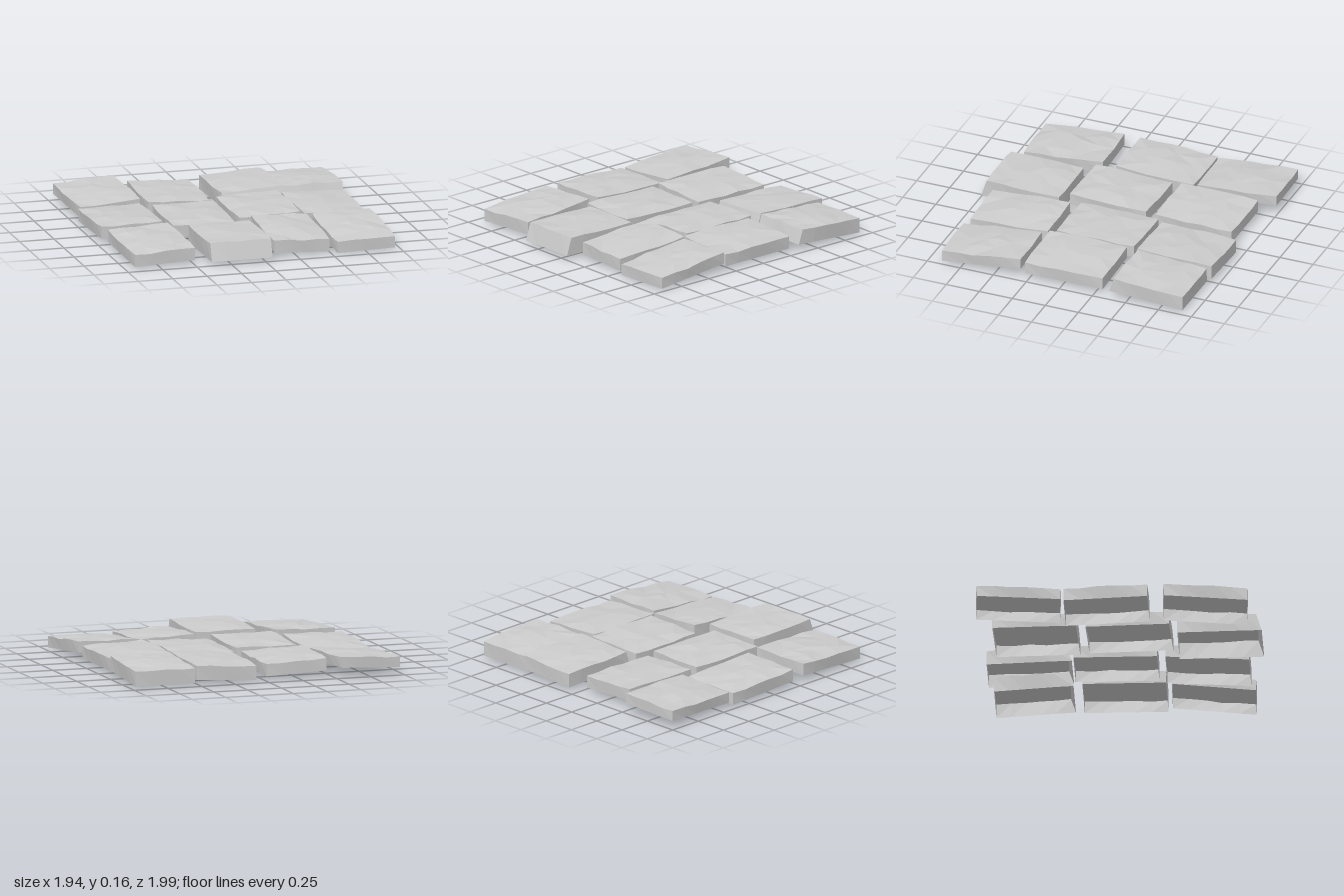
import * as THREE from 'three';

const NX = 4, NZ = 5;

// Each slab: centre x and z, turn, mean top height, rise to the right (+x), rise to the front;
// size, thickness and forward flare of the foot are given only where they differ
const SLABS = [
  // back row
  { at: [-0.74, -0.695, .05, .136, .022, -.022], t: .075 },
  { at: [-0.25, -0.59, -.03, .13, -.02, 0] },
  { at: [0.3, -0.67, 0, .144, .022, .018], d: .56, t: .1, lean: .035 },
  { at: [0.74, -0.655, 0, .141, 0, .033], d: .52, t: .105, lean: .035 },
  // middle row
  { at: [-0.745, -0.08, 0, .124, .008, .023] },
  { at: [-0.255, 0.06, -.03, .137, 0, .005] },
  { at: [0.248, -0.05, 0, .137, .015, 0] },
  { at: [0.708, -0.005, 0, .13, -.02, 0] },
  // front row
  { at: [-0.72, 0.61, .05, .129, .012, -.033] },
  { at: [-0.17, 0.675, 0, .155, 0, .008], d: .55, t: .125, lean: .04 },
  { at: [0.295, 0.59, 0, .131, -.018, -.033], w: .4 },
  { at: [0.748, 0.615, .03, .118, .007, -.052], w: .42, t: .08 },
];

// Small seeded generator, returns -1..1
function seeded(seed) {
  let s = seed * 7919 + 17;
  return () => {
    s = (s * 16807) % 2147483647;
    return (s / 2147483647) * 2 - 1;
  };
}

// Hollow stone: uneven crowned top and a skirt of side walls, open below
function slabGeometry({ at, w = .44, d = .585, t = .088, lean = 0 }, seed) {
  const [cx, cz, turn, height, roll, pitch] = at;
  const rnd = seeded(seed);
  const positions = [], index = [];

  // Point of the tilted, turned slab plane at grid position (i, j)
  const planePoint = (i, j) => {
    const u = i / NX - 0.5, v = j / NZ - 0.5;
    return new THREE.Vector3(u * w, height + u * roll + v * pitch, v * d)
      .applyAxisAngle(THREE.Object3D.DEFAULT_UP, turn)
      .add(new THREE.Vector3(cx, 0, cz));
  };

  // Top surface
  for (let j = 0; j <= NZ; j++) {
    for (let i = 0; i <= NX; i++) {
      const p = planePoint(i, j);
      const inX = i > 0 && i < NX, inZ = j > 0 && j < NZ;
      const su = Math.sin(Math.PI * i / NX), sv = Math.sin(Math.PI * j / NZ);
      p.y += 0.014 * su * sv + (inX || inZ ? 0.006 * rnd() : 0);
      if (inX && inZ) {
        p.x += 0.025 * rnd();
        p.z += 0.025 * rnd();
      } else {
        // bowed edges
        if (inZ) p.x += (i / NX - 0.5) * 0.02 * sv;
        if (inX) p.z += (j / NZ - 0.5) * 0.01 * su;
      }
      positions.push(p.x, p.y, p.z);
    }
  }
  const id = (i, j) => j * (NX + 1) + i;
  for (let j = 0; j < NZ; j++) {
    for (let i = 0; i < NX; i++) {
      const a = id(i, j), b = id(i + 1, j), c = id(i, j + 1), e = id(i + 1, j + 1);
      if (rnd() > 0) index.push(a, c, b, b, c, e);
      else index.push(a, c, e, a, e, b);
    }
  }

  // Border loop: back, right, front, left
  const rim = [];
  for (let i = 0; i < NX; i++) rim.push([i, 0]);
  for (let j = 0; j < NZ; j++) rim.push([NX, j]);
  for (let i = NX; i > 0; i--) rim.push([i, NZ]);
  for (let j = NZ; j > 0; j--) rim.push([0, j]);

  // Side walls down to a straight foot
  const first = positions.length / 3;
  rim.forEach(([i, j], k) => {
    const p = planePoint(i, j);
    positions.push(p.x, p.y - t, p.z + (j === NZ ? lean : 0));
    const n = (k + 1) % rim.length;
    const a = id(i, j), b = id(...rim[n]);
    index.push(a, b, first + k, b, first + n, first + k);
  });

  const geometry = new THREE.BufferGeometry();
  geometry.setAttribute('position', new THREE.Float32BufferAttribute(positions, 3));
  geometry.setIndex(index);
  const flat = geometry.toNonIndexed();
  flat.computeVertexNormals();
  return flat;
}

export function createModel() {
  const group = new THREE.Group();
  group.name = 'stonePaving';
  const stone = new THREE.MeshStandardMaterial({
    color: 0xcccccc, flatShading: true, side: THREE.DoubleSide,
  });
  const rows = ['back', 'middle', 'front'];
  const paving = new THREE.Group();
  paving.name = 'pavingSlabs';
  SLABS.forEach((slab, k) => {
    const mesh = new THREE.Mesh(slabGeometry(slab, k + 1), stone);
    mesh.name = `${rows[Math.floor(k / 4)]}Slab${(k % 4) + 1}`;
    paving.add(mesh);
  });
  // Rest the lowest foot on the ground
  paving.position.y = -new THREE.Box3().setFromObject(paving).min.y;
  group.add(paving);
  return group;
}
